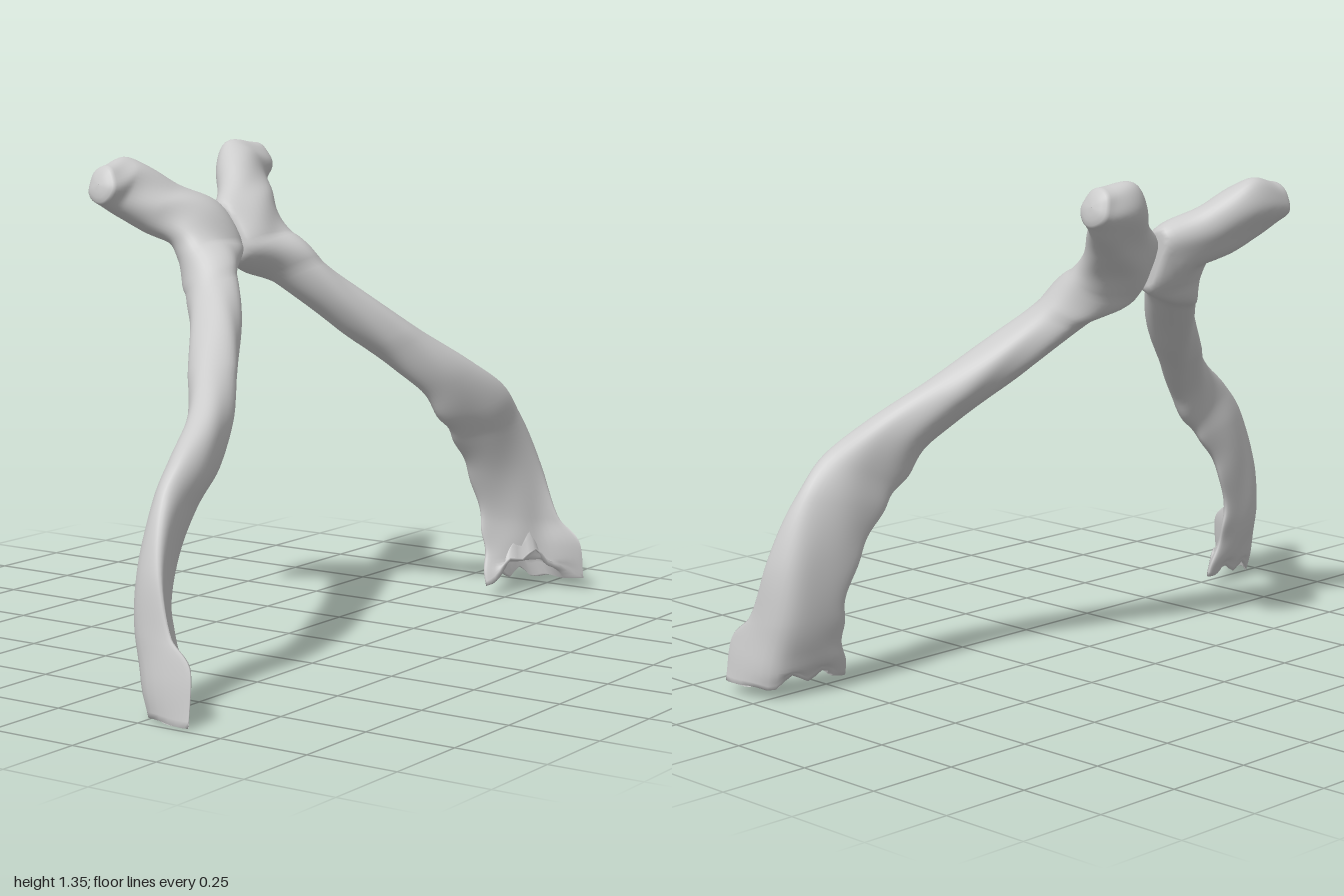
import * as THREE from 'three';

// Stations from head to lower end:
// [outer edge x,y,z], [inner edge x,y,z], [half thickness, forward curl of outer edge, thinning of inner edge]
const STATIONS = [
  [[0.34, 1.25, -0.33], [0.31, 1.355, -0.35], [0.048, 0, 0]],
  [[0.305, 1.215, -0.31], [0.2, 1.355, -0.36], [0.058, 0, 0]],
  [[0.26, 1.17, -0.26], [0.11, 1.265, -0.3], [0.066, 0, 0]],
  [[0.238, 1.125, -0.21], [0.004, 1.18, -0.24], [0.07, 0, 0]],
  [[0.24, 1.085, -0.17], [0.004, 1.065, -0.18], [0.072, 0, 0]],
  [[0.28, 1.015, -0.09], [0.13, 0.99, -0.13], [0.072, 0, 0]],
  [[0.37, 0.93, -0.005], [0.235, 0.885, -0.05], [0.07, 0, 0]],
  [[0.5, 0.83, 0.085], [0.36, 0.77, 0.04], [0.064, 0, 0]],
  [[0.65, 0.725, 0.18], [0.48, 0.66, 0.115], [0.058, 0, 0.1]],
  [[0.785, 0.635, 0.22], [0.56, 0.56, 0.145], [0.054, 0, 0.2]],
  [[0.87, 0.54, 0.222], [0.63, 0.49, 0.145], [0.05, 0.005, 0.3]],
  [[0.945, 0.38, 0.23], [0.71, 0.385, 0.148], [0.046, 0.035, 0.35]],
  [[0.98, 0.22, 0.245], [0.755, 0.25, 0.16], [0.046, 0.075, 0.4]],
  [[1.0, 0.13, 0.265], [0.75, 0.15, 0.18], [0.046, 0.125, 0.4]],
  [[1.01, 0.03, 0.28], [0.72, 0.05, 0.2], [0.04, 0.11, 0.4]],
];
const SIDES = 40, STEPS = 112;

function boneGeometry(side) {
  const right = side < 0;
  // The right half has a lower, longer head and a deeper outer corner
  const tweak = ([x, y, z], i, outer) => {
    if (right && i < 3) return [x + 0.035 - 0.01 * i, y - 0.035 + 0.01 * i, z - 0.015];
    if (right && i === 14 && outer) return [x, y - 0.03, z + 0.005];
    return [x, y, z];
  };
  const curve = (k) => new THREE.CatmullRomCurve3(STATIONS.map((s, i) =>
    new THREE.Vector3(...(k < 2 ? tweak(s[k], i, k === 0) : s[k]))));
  const outer = curve(0), inner = curve(1), shape = curve(2);
  const centre = (t) => outer.getPoint(t).lerp(inner.getPoint(t), 0.5);

  const positions = [], index = [];

  // One closed cross-section: an ellipse between both edges, bent forward at the outer edge
  function addRing(t, scale = 1, push = 0) {
    const c = centre(t);
    const tangent = centre(Math.min(1, t + 0.012)).sub(centre(Math.max(0, t - 0.012))).normalize();
    const half = outer.getPoint(t).sub(c);
    const normal = tangent.clone().cross(half).normalize();
    const { x: thick, y: curl, z: thin } = shape.getPoint(t);
    const ragged = THREE.MathUtils.smoothstep(t, 0.95, 1);
    for (let j = 0; j < SIDES; j++) {
      const a = (j / SIDES) * Math.PI * 2;
      const u = Math.cos(a), v = Math.sin(a);
      const ripple = 1 + 0.035 * Math.sin(t * 75 + u * 2) * Math.max(0, -u) + 0.012 * Math.sin(t * 43 + v * 3);
      const bump = 1 + 0.06 * Math.sin(t * 38 + u * 4);
      const depth = v * thick * scale * bump * (1 - thin * (0.5 - 0.5 * u) + thin * 0.3 * u)
        + curl * Math.max(0, u * scale) ** 4;
      const p = c.clone()
        .addScaledVector(half, u * scale * ripple)
        .addScaledVector(normal, depth)
        .addScaledVector(tangent, push);
      // Broken lower rim, higher at the front
      p.y += ragged * (1 - u * u) * (0.035 + 0.05 * Math.max(0, v) + 0.015 * Math.sin(u * 9));
      // Flat joint face at the midline
      p.x = Math.max(p.x, right ? 0.02 : 0.01);
      positions.push(p.x * side, Math.max(0, p.y), p.z);
    }
  }

  // Rounded head end
  for (const a of [0.02, 0.35, 0.7, 1.05, 1.3]) addRing(0, Math.sin(a), -0.022 * Math.cos(a));
  for (let i = 0; i <= STEPS; i++) addRing(i / STEPS);
  // Hollow lower end
  addRing(1, 0.84, -0.004);
  addRing(1, 0.74, -0.04);
  addRing(1, 0.5, -0.07);
  addRing(1, 0.01, -0.075);

  const rings = positions.length / 3 / SIDES;
  for (let i = 0; i < rings - 1; i++) {
    for (let j = 0; j < SIDES; j++) {
      const a = i * SIDES + j, b = i * SIDES + (j + 1) % SIDES;
      const c = a + SIDES, d = b + SIDES;
      if (right) index.push(a, c, b, b, c, d);
      else index.push(a, b, c, b, d, c);
    }
  }
  const geometry = new THREE.BufferGeometry();
  geometry.setAttribute('position', new THREE.Float32BufferAttribute(positions, 3));
  geometry.setIndex(index);
  geometry.computeVertexNormals();
  return geometry;
}

export function createModel() {
  const model = new THREE.Group();
  model.name = 'pairedBones';
  const material = new THREE.MeshStandardMaterial({ color: 0xcccccc, side: THREE.DoubleSide });
  for (const [name, side] of [['leftBone', 1], ['rightBone', -1]]) {
    const bone = new THREE.Mesh(boneGeometry(side), material);
    bone.name = name;
    model.add(bone);
  }
  return model;
}
